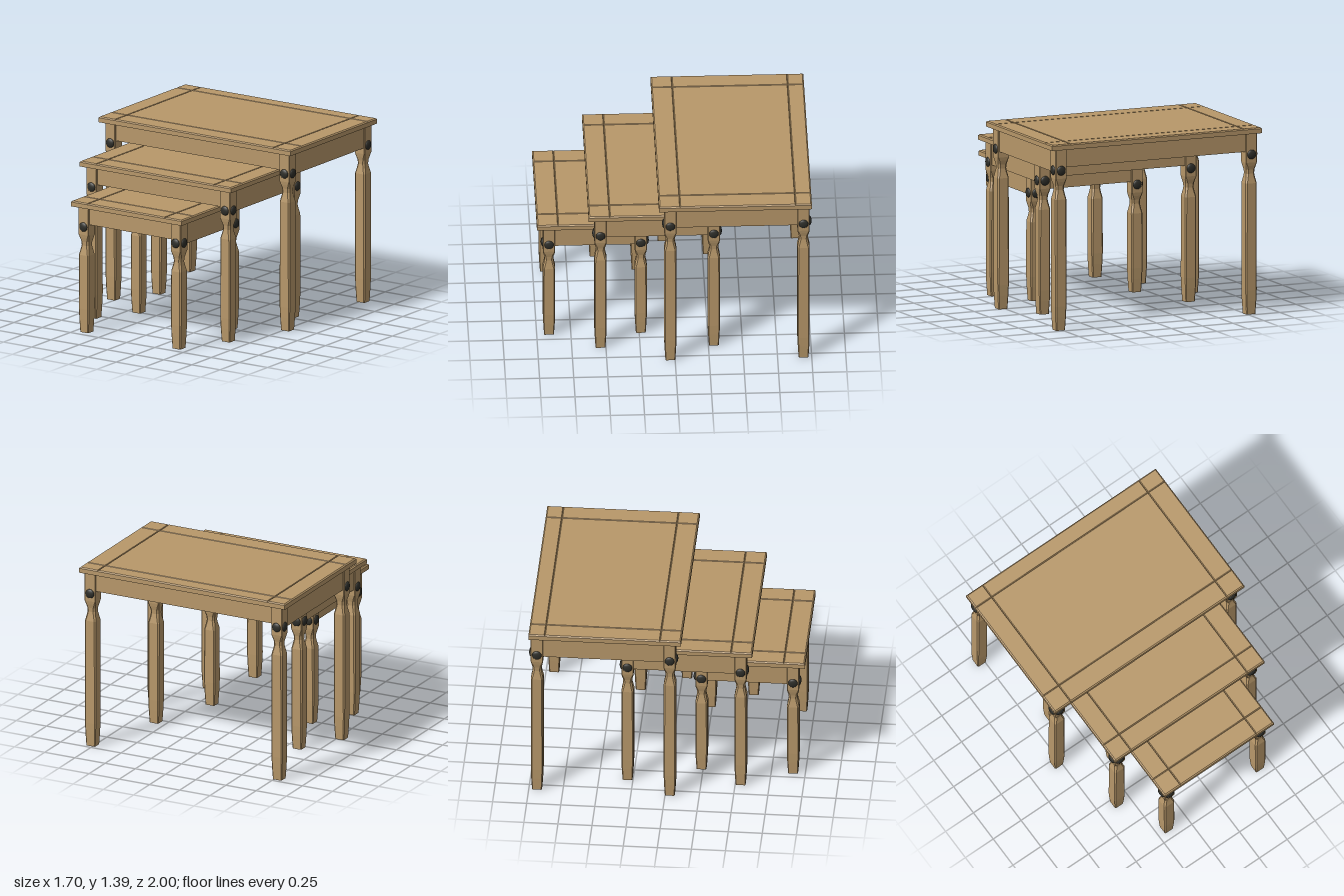
import * as THREE from 'three';

const wood = new THREE.MeshStandardMaterial({ color: 0xb8986a });
wood.name = 'waxed pine';
const iron = new THREE.MeshStandardMaterial({ color: 0x2e2e29 });
iron.name = 'dark iron';

const HALF = 0.045; // half width of a leg
const STUD_DROP = 0.155; // stud centre below the underside of the top

function flat(geometry) {
  const g = geometry.toNonIndexed();
  g.computeVertexNormals();
  return g;
}

function add(parent, name, geometry, material, x = 0, y = 0, z = 0) {
  const mesh = new THREE.Mesh(geometry, material);
  mesh.name = name;
  mesh.position.set(x, y, z);
  parent.add(mesh);
  return mesh;
}

// Square leg with chamfered corners, a carved neck and a tapered foot
function legGeometry(height) {
  const stud = height - STUD_DROP;
  const rings = [ // y, half width, corner chamfer
    [height, HALF, 0.004],
    [stud - 0.06, HALF, 0.004],
    [stud - 0.085, 0.041, 0.01],
    [stud - 0.115, 0.034, 0.013],
    [stud - 0.145, 0.032, 0.013],
    [stud - 0.175, 0.037, 0.012],
    [stud - 0.215, HALF, 0.01],
    [0.18, HALF, 0.008],
    [0.1, 0.042, 0.007],
    [0, 0.036, 0.005],
  ];
  const n = rings.length - 1;
  const g = new THREE.CylinderGeometry(1, 1, 1, 8, n, false, Math.PI / 8);
  const p = g.attributes.position;
  for (let i = 0; i < p.count; i++) {
    const x = p.getX(i), z = p.getZ(i);
    const [y, h, c] = rings[Math.round((0.5 - p.getY(i)) * n)];
    if (Math.hypot(x, z) < 0.1) { p.setXYZ(i, 0, y, 0); continue; }
    const wide = Math.abs(x) > Math.abs(z);
    p.setXYZ(i, Math.sign(x) * (wide ? h : h - c), y, Math.sign(z) * (wide ? h - c : h));
  }
  return flat(g);
}

// Board with chamfered upper edges; insets are [left, right, back, front]
function boardGeometry(w, h, d, insets) {
  const g = new THREE.BoxGeometry(w, h, d, 1, 2, 1);
  const p = g.attributes.position;
  for (let i = 0; i < p.count; i++) {
    const y = p.getY(i);
    if (Math.abs(y) < 1e-6) p.setY(i, h / 2 - 0.008);
    else if (y > 0) {
      p.setX(i, p.getX(i) < 0 ? -w / 2 + insets[0] : w / 2 - insets[1]);
      p.setZ(i, p.getZ(i) < 0 ? -d / 2 + insets[2] : d / 2 - insets[3]);
    }
  }
  return flat(g);
}

// Nine boards whose chamfers meet as V grooves
function tableTop(t) {
  const top = new THREE.Group();
  top.name = 'tableTop';
  const xs = [t.x0, t.x0 + 0.145, t.x1 - 0.154, t.x1];
  const zs = [t.z0, t.z0 + 0.12, t.z1 - 0.155, t.z1];
  const groove = 0.005, edge = 0.009, thick = t.top - t.under;
  for (let i = 0; i < 3; i++) {
    for (let j = 0; j < 3; j++) {
      const insets = [i === 0, i === 2, j === 0, j === 2].map((o) => (o ? edge : groove));
      add(top, i === 1 && j === 1 ? 'centrePanel' : 'borderBoard',
        boardGeometry(xs[i + 1] - xs[i], thick, zs[j + 1] - zs[j], insets), wood,
        (xs[i] + xs[i + 1]) / 2, t.under + thick / 2, (zs[j] + zs[j + 1]) / 2);
    }
  }
  return top;
}

// Shallow domed nail head, facing +y
const studGeometry = new THREE.SphereGeometry(0.035, 20, 6, 0, Math.PI * 2, 0, Math.PI / 2);
studGeometry.scale(1, 0.42, 1);

function table(t) {
  const group = new THREE.Group();
  group.name = t.name;
  group.add(tableTop(t));

  const legShape = legGeometry(t.under);
  const cx = -0.006, cz = (t.legFront + t.legBack) / 2;
  const halfZ = (t.legFront - t.legBack) / 2;
  const studY = t.under - STUD_DROP;
  for (const sx of [-1, 1]) {
    for (const sz of [-1, 1]) {
      const x = cx + sx * t.legX, z = cz + sz * halfZ;
      add(group, 'leg', legShape, wood, x, 0, z);
      // Studs on the two outer faces
      add(group, 'stud', studGeometry, iron, x, studY, z + sz * HALF).rotation.x = sz * Math.PI / 2;
      add(group, 'stud', studGeometry, iron, x + sx * HALF, studY, z).rotation.z = -sx * Math.PI / 2;
    }
  }

  // Aprons between the legs, the side ones deeper
  const thick = 0.028, out = HALF - 0.012 - thick / 2;
  const endH = 0.134, sideH = 0.172;
  for (const s of [-1, 1]) {
    add(group, s > 0 ? 'frontApron' : 'backApron',
      new THREE.BoxGeometry(2 * t.legX - HALF, endH, thick), wood,
      cx, t.under - endH / 2, cz + s * (halfZ + out));
    add(group, 'sideApron',
      new THREE.BoxGeometry(thick, sideH, 2 * halfZ - HALF), wood,
      cx + s * (t.legX + out), t.under - sideH / 2, cz);
  }
  return group;
}

export function createModel() {
  const model = new THREE.Group();
  model.name = 'nestOfTables';
  const tables = [
    { name: 'largeTable', x0: -0.854, x1: 0.849, z0: -1, z1: 0.12, under: 1.345, top: 1.387,
      legX: 0.772, legFront: 0.035, legBack: -0.94 },
    { name: 'mediumTable', x0: -0.673, x1: 0.669, z0: -0.35, z1: 0.628, under: 1.15, top: 1.19,
      legX: 0.592, legFront: 0.54, legBack: -0.29 },
    { name: 'smallTable', x0: -0.494, x1: 0.487, z0: 0.18, z1: 1, under: 0.957, top: 0.998,
      legX: 0.409, legFront: 0.91, legBack: 0.238 },
  ];
  for (const t of tables) model.add(table(t));
  return model;
}
